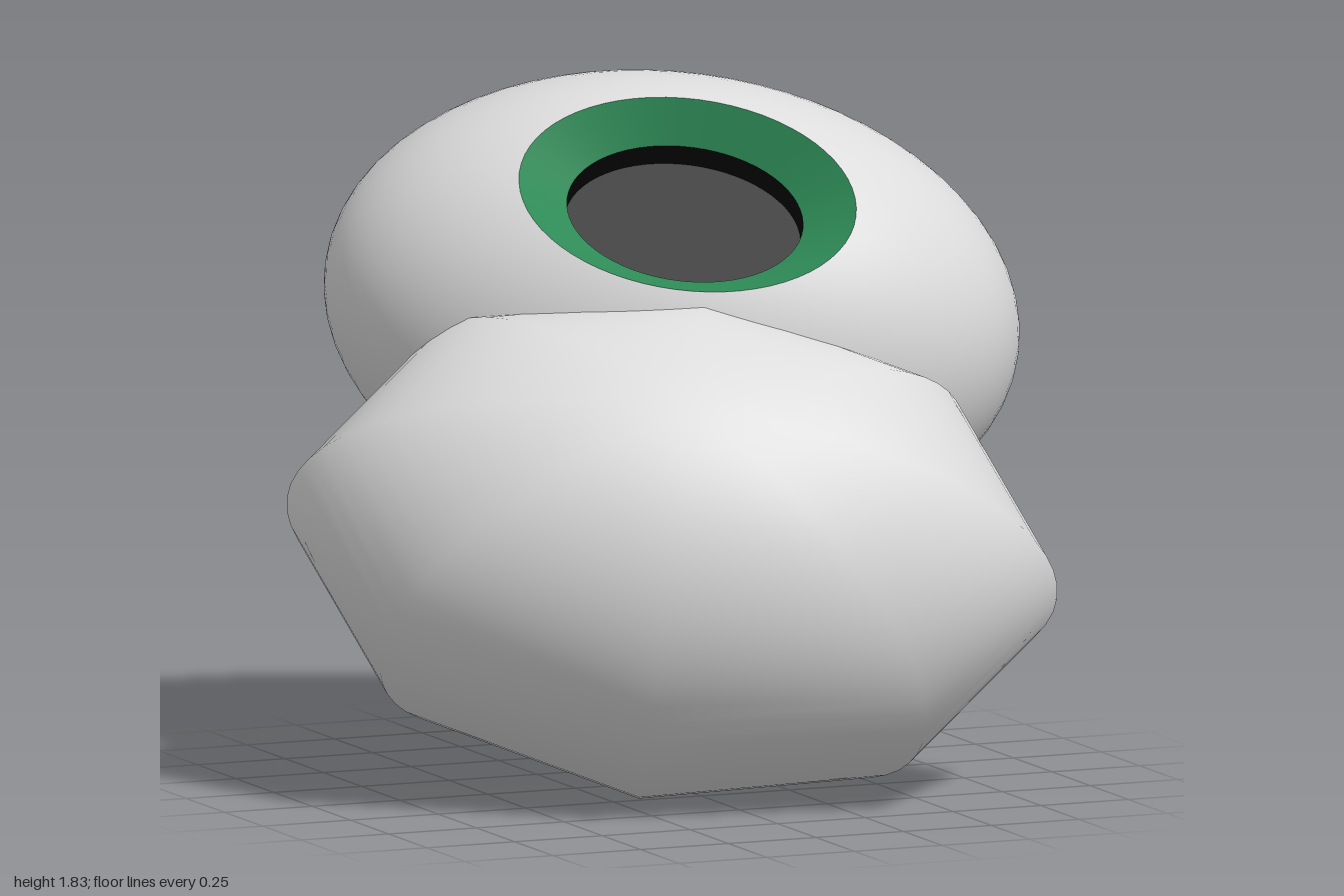
import * as THREE from 'three';

const shellMat = new THREE.MeshStandardMaterial({ name: 'pale grey', color: 0xdcdcdc });
const irisMat = new THREE.MeshStandardMaterial({ name: 'sea green', color: 0x2e8b57, side: THREE.DoubleSide });
const pupilMat = new THREE.MeshStandardMaterial({ name: 'black', color: 0x060606, side: THREE.DoubleSide });

// The shapes are unit spheres and lathes, stretched into spheroids
const RADII = new THREE.Vector3(0.914, 0.619, 0.619);

function part(name, geometry, material, parent) {
  const mesh = new THREE.Mesh(geometry, material);
  mesh.name = name;
  parent.add(mesh);
  return mesh;
}

function lathe(points) {
  return new THREE.LatheGeometry(points.map(([r, y]) => new THREE.Vector2(r, y)), 64);
}

export function createModel() {
  const model = new THREE.Group();
  model.name = 'eyeAndPouch';

  // Tilted frame: x is the long axis, y the direction of gaze
  const long = new THREE.Vector3(0.905, -0.13, 0.412).normalize();
  const gaze = new THREE.Vector3(-0.215, 0.687, 0.725);
  const low = new THREE.Vector3().crossVectors(long, gaze).normalize();
  gaze.crossVectors(low, long);
  const tilted = new THREE.Group();
  tilted.name = 'tiltedFrame';
  tilted.quaternion.setFromRotationMatrix(new THREE.Matrix4().makeBasis(long, gaze, low));
  tilted.position.set(0.137, 1.198, -0.256);
  model.add(tilted);

  // Eyeball with a sunken iris and pupil
  const eye = new THREE.Group();
  eye.name = 'eye';
  eye.scale.copy(RADII);
  tilted.add(eye);
  const rimAngle = 0.507;
  const rimRadius = Math.sin(rimAngle), rimHeight = Math.cos(rimAngle);
  const pupilRadius = rimRadius * 0.7, pupilHeight = 0.726, floorHeight = 0.59;
  part('eyeball', new THREE.SphereGeometry(1, 64, 40, 0, Math.PI * 2, rimAngle, Math.PI - rimAngle), shellMat, eye);
  part('iris', lathe([[pupilRadius, pupilHeight], [rimRadius, rimHeight]]), irisMat, eye);
  part('pupilWall', lathe([[pupilRadius, floorHeight], [pupilRadius, pupilHeight]]), pupilMat, eye);
  part('pupilFloor', lathe([[0, floorHeight], [pupilRadius, floorHeight]]), pupilMat, eye);

  // Eight-sided pouch below the eye; its top edge just reaches into the pupil
  const pouch = part('pouch', new THREE.SphereGeometry(1, 8, 32), shellMat, tilted);
  pouch.scale.set(1.015, 0.665, 0.66);
  pouch.position.set(0.08, 0.005, 0.748);

  return model;
}
